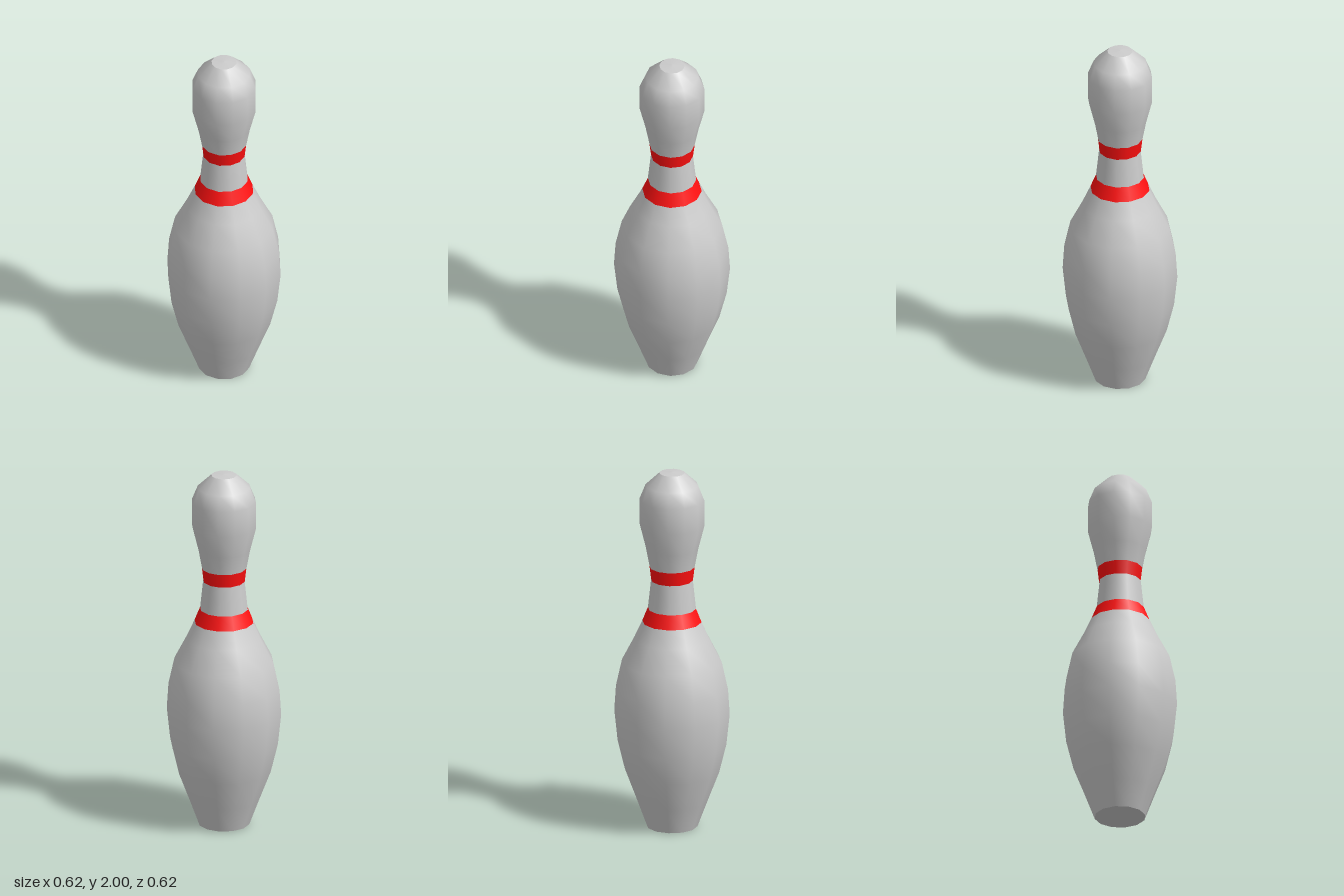
import * as THREE from 'three';

const SIDES = 12;
const grey = new THREE.MeshStandardMaterial({ color: 0xcccccc });
const red = new THREE.MeshStandardMaterial({ color: 0xff1010 });

export function createModel() {
  const pin = new THREE.Group();
  pin.name = 'bowlingPin';

  // Turns a [radius, height] profile, listed from bottom to top
  const turn = (name, material, profile) => {
    const points = profile.map(([r, y]) => new THREE.Vector2(r, y));
    const mesh = new THREE.Mesh(new THREE.LatheGeometry(points, SIDES), material);
    mesh.name = name;
    pin.add(mesh);
  };

  // Flat underside
  turn('base', grey, [[0, 0], [0.138, 0]]);

  // Belly, swelling and tapering to the lower stripe
  turn('belly', grey, [
    [0.138, 0], [0.19, 0.14], [0.255, 0.31], [0.294, 0.47], [0.312, 0.64],
    [0.303, 0.78], [0.27, 0.93], [0.203, 1.06], [0.16, 1.155],
  ]);

  // Neck with its two stripes
  turn('lowerStripe', red, [[0.16, 1.155], [0.13, 1.23]]);
  turn('neck', grey, [[0.13, 1.23], [0.113, 1.39]]);
  turn('upperStripe', red, [[0.113, 1.39], [0.122, 1.465]]);

  // Rounded head and its small flat crown
  turn('head', grey, [
    [0.122, 1.465], [0.142, 1.57], [0.175, 1.7], [0.175, 1.845],
    [0.143, 1.925], [0.068, 1.995],
  ]);
  turn('crown', grey, [[0.068, 1.995], [0, 2]]);

  return pin;
}
